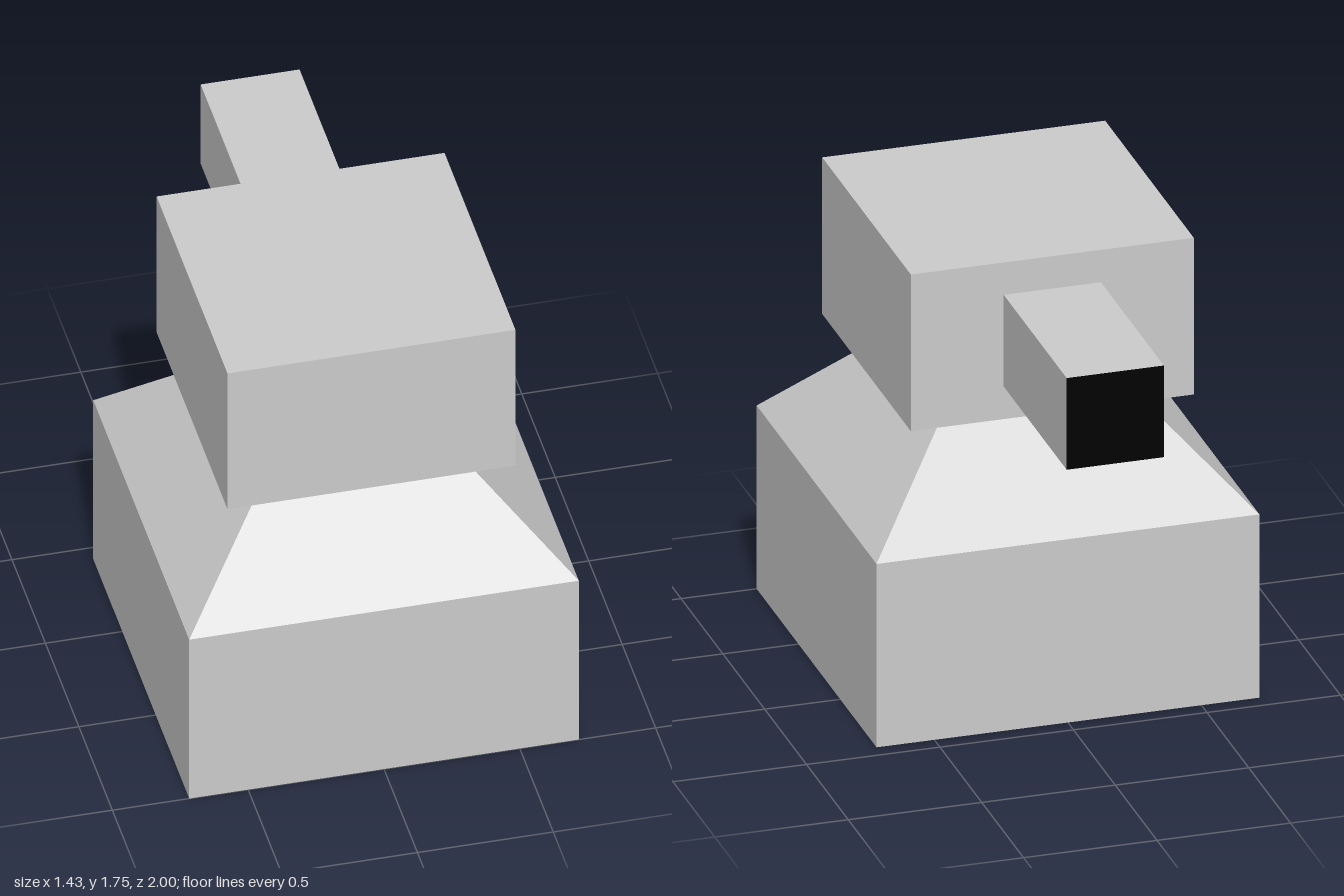
import * as THREE from 'three';

export function createModel() {
  const group = new THREE.Group();
  group.name = 'turret';
  const grey = new THREE.MeshStandardMaterial({ color: 0xcccccc, flatShading: true });
  const black = new THREE.MeshStandardMaterial({ color: 0x000000, flatShading: true });
  const bodyZ = 0.283; // shared centre of base, neck and head

  const add = (name, geometry, y, z, material = grey) => {
    const mesh = new THREE.Mesh(geometry, material);
    mesh.name = name;
    mesh.position.set(0, y, z);
    group.add(mesh);
  };

  // Square base block
  add('base', new THREE.BoxGeometry(1.434, 0.72, 1.434), 0.36, bodyZ);

  // Four-sided tapering neck, turned so its flats face the axes
  const neck = new THREE.CylinderGeometry(0.323 * Math.SQRT2, 0.717 * Math.SQRT2, 0.415, 4);
  neck.rotateY(Math.PI / 4);
  add('neck', neck, 0.9275, bodyZ);

  // Head block
  add('head', new THREE.BoxGeometry(1.06, 0.615, 1.06), 1.4425, bodyZ);

  // Barrel pointing back, with a black muzzle on its -z face
  add('barrel', new THREE.BoxGeometry(0.364, 0.36, 0.753), 1.443, -0.6235,
    [grey, grey, grey, grey, grey, black]);

  return group;
}
